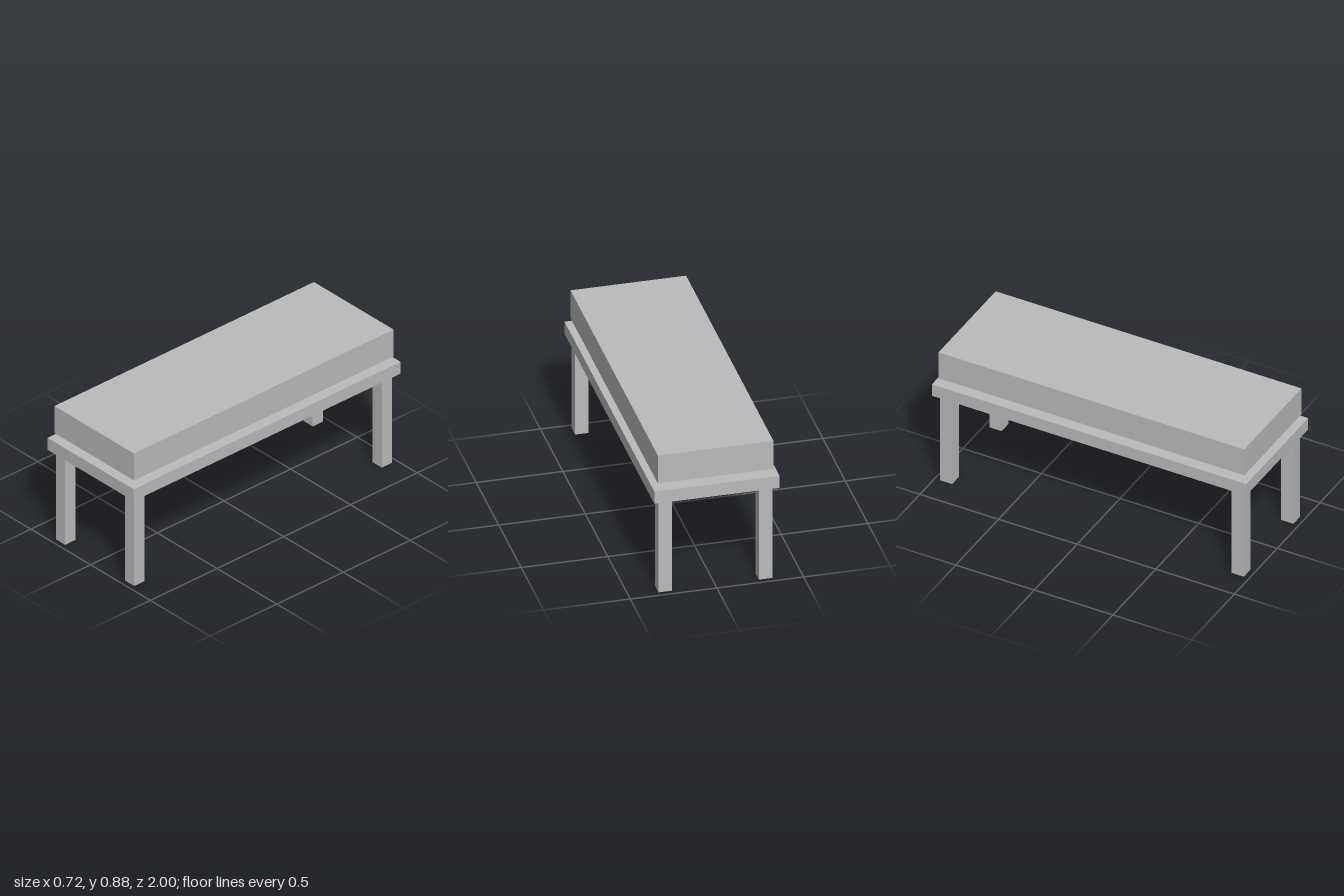
import * as THREE from 'three';

export function createModel() {
  const model = new THREE.Group();
  model.name = 'bench';

  const grey = new THREE.MeshStandardMaterial({ color: 0xbbbbbb });
  grey.name = 'light grey';

  // Box given by its size, its bottom height and its centre in x and z
  function addBox(name, width, height, depth, bottom, x = 0, z = 0) {
    const mesh = new THREE.Mesh(new THREE.BoxGeometry(width, height, depth), grey);
    mesh.name = name;
    mesh.position.set(x, bottom + height / 2, z);
    model.add(mesh);
  }

  // Thick cushion, floating just above the frame
  addBox('cushion', 0.667, 0.178, 1.945, 0.702);

  // Flat frame under the cushion
  addBox('seatFrame', 0.722, 0.078, 2, 0.59);

  // Four square legs
  for (const [side, x] of [['Left', 0.289], ['Right', -0.289]]) {
    for (const [end, z] of [['front', 0.928], ['back', -0.928]]) {
      addBox(`${end}${side}Leg`, 0.078, 0.59, 0.078, 0, x, z);
    }
  }

  return model;
}
